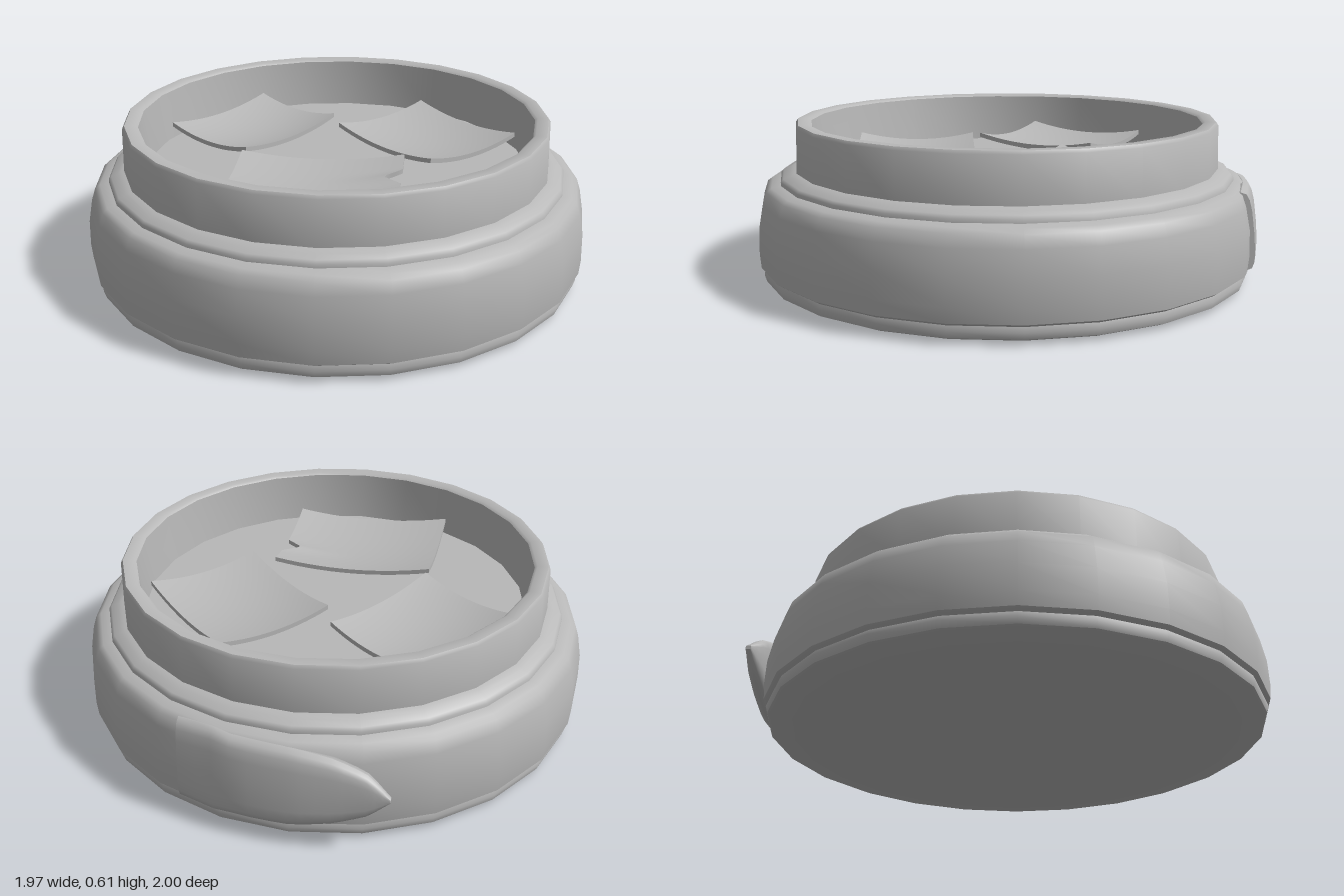
import * as THREE from 'three';
import { toCreasedNormals } from 'three/addons/utils/BufferGeometryUtils.js';

const SIDES = 24;
const CENTRE_Z = 0.015;

export function createModel() {
  const model = new THREE.Group();
  model.name = 'steamerBasket';
  const grey = new THREE.MeshStandardMaterial({ color: 0xb8b8b8 });
  grey.name = 'plain grey';

  const add = (name, geometry) => {
    const mesh = new THREE.Mesh(geometry, grey);
    mesh.name = name;
    model.add(mesh);
    return mesh;
  };

  // Turned part from [radius, height] pairs, softly shaded with crisp edges
  const turned = (name, profile) => {
    const points = profile.map(([r, y]) => new THREE.Vector2(r, y));
    const geometry = toCreasedNormals(new THREE.LatheGeometry(points, SIDES), 0.75);
    add(name, geometry).position.z = CENTRE_Z;
  };

  // Move every vertex of a geometry by a rule
  const reshape = (geometry, rule) => {
    const pos = geometry.attributes.position;
    const p = new THREE.Vector3();
    for (let i = 0; i < pos.count; i++) {
      rule(p.fromBufferAttribute(pos, i));
      pos.setXYZ(i, p.x, p.y, p.z);
    }
    geometry.computeVertexNormals();
    return geometry;
  };

  // Body: foot, wrapped band, ledge, upright wall and floor
  turned('foot', [[0, 0], [0.80, 0], [0.935, 0.008], [0.962, 0.02], [0.97, 0.045], [0.96, 0.07], [0.9, 0.075]]);
  turned('band', [[0.9, 0.06], [0.96, 0.062], [0.98, 0.075], [0.985, 0.13], [0.982, 0.23],
    [0.965, 0.32], [0.95, 0.365], [0.93, 0.38], [0.88, 0.39], [0.8, 0.39]]);
  turned('ledge', [[0.895, 0.375], [0.895, 0.4], [0.885, 0.412], [0.86, 0.42], [0.845, 0.43], [0.8, 0.432]]);
  turned('wall', [[0.835, 0.41], [0.83, 0.6], [0.822, 0.612], [0.78, 0.612], [0.77, 0.604], [0.75, 0.41]]);
  turned('floor', [[0.78, 0.41], [0, 0.41]]);

  // Loose band end: squarish tapering sections running off the back
  const stations = [ // x, mid height, z, half height, half thickness
    [0.40, 0.225, -0.850, 0.150, 0.040],
    [0.20, 0.225, -0.915, 0.150, 0.040],
    [0.00, 0.225, -0.945, 0.145, 0.042],
    [-0.15, 0.230, -0.955, 0.120, 0.038],
    [-0.27, 0.235, -0.965, 0.075, 0.030],
    [-0.35, 0.240, -0.985, 0.008, 0.010],
  ];
  const path = new THREE.CatmullRomCurve3(stations.map(([x, y, z]) => new THREE.Vector3(x, y, z)));
  const size = new THREE.CatmullRomCurve3(stations.map((s) => new THREE.Vector3(s[3], s[4], 0)));
  const square = (v) => Math.sign(v) * Math.abs(v) ** 0.65;
  add('bandEnd', reshape(new THREE.CylinderGeometry(1, 1, 1, 16, 15), (p) => {
    const t = Math.min(1, Math.max(0, p.y + 0.5));
    const c = path.getPoint(t);
    const s = size.getPoint(t);
    const rise = square(p.z) * s.x;
    p.set(c.x, c.y + rise, c.z - square(p.x) * s.y + rise * 0.12);
  }));

  // Sagging square sheets; corners [x, z] run clockwise seen from above
  const sheet = (name, corners, notch) => {
    const [a, b, c, d] = corners;
    const geometry = new THREE.BoxGeometry(2, 1, 2, 14, 1, 28);
    add(name, reshape(geometry, (p) => {
      const u = p.x, v = p.z;
      const s = (u + 1) / 2, t = (v + 1) / 2;
      const mix = (k) => (1 - t) * ((1 - s) * a[k] + s * b[k]) + t * ((1 - s) * d[k] + s * c[k]);
      let x = mix(0);
      const bite = Math.max(0, 1 - Math.abs(v + 0.32) / 0.24);
      if (notch) x -= 0.07 * bite * Math.max(0, u);
      p.set(x, 0.427 + 0.03 * (u * u + v * v) + p.y * 0.018, mix(1));
    }));
  };
  sheet('leftSheet', [[-0.70, -0.16], [-0.38, -0.59], [-0.04, -0.33], [-0.35, 0.11]]);
  sheet('rightSheet', [[-0.01, -0.21], [0.33, -0.54], [0.71, -0.14], [0.37, 0.18]]);
  sheet('frontSheet', [[-0.36, 0.14], [0.27, 0.14], [0.25, 0.62], [-0.39, 0.62]], true);

  return model;
}
